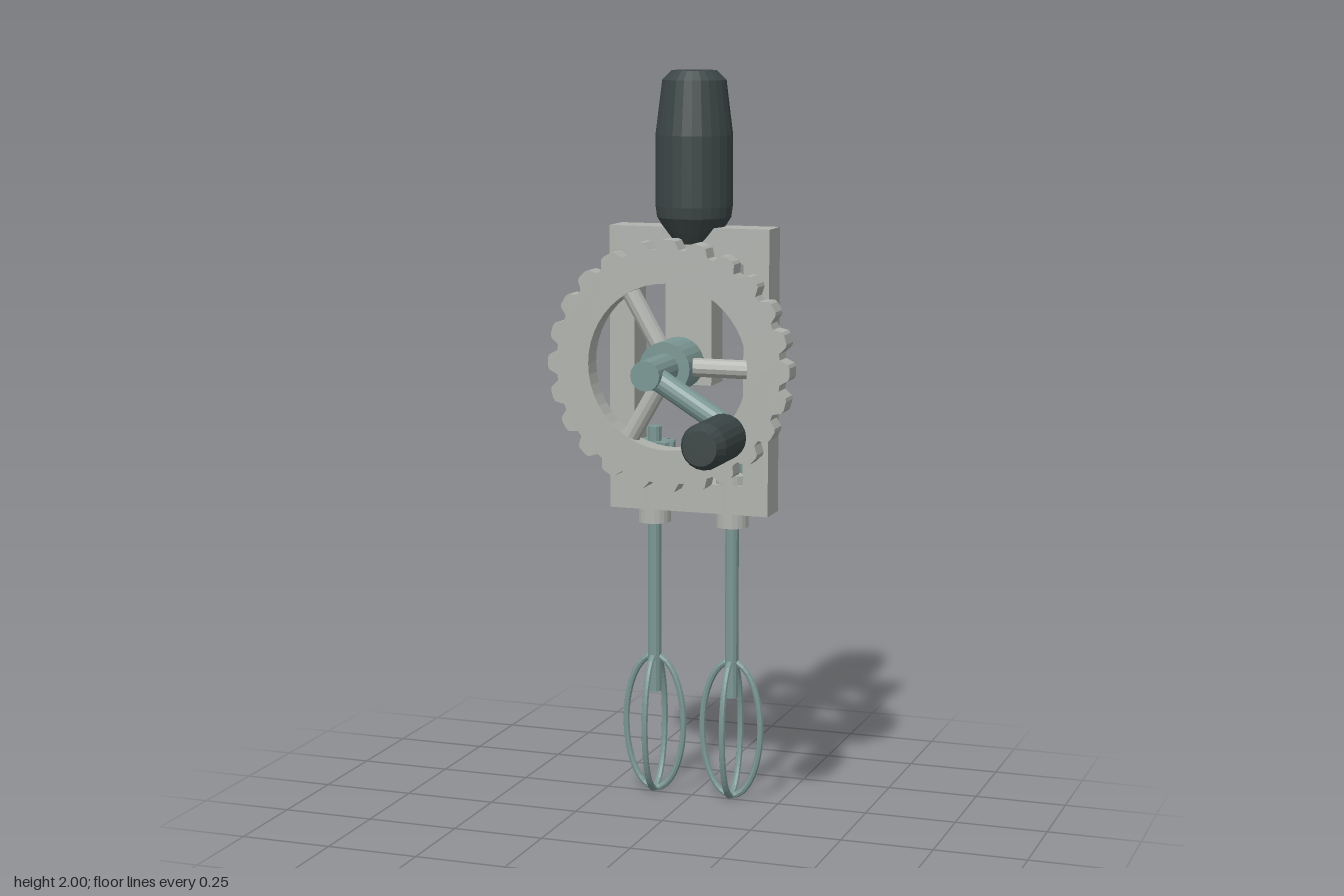
import * as THREE from 'three';

const mat = (color) => new THREE.MeshStandardMaterial({ color, flatShading: true });
const METAL = mat(0xb0b3ae), STEEL = mat(0x7b9794), DARK = mat(0x3c4646);
const Z = -0.26;      // plane of the frame and beaters
const HUB_Y = 1.23;   // height of the crank axle

function add(parent, name, geometry, material) {
  const mesh = new THREE.Mesh(geometry, material);
  mesh.name = name;
  parent.add(mesh);
  return mesh;
}

// Cylinder running between two points
function rod(parent, name, from, to, radius, material, sides = 16) {
  const a = new THREE.Vector3(...from), b = new THREE.Vector3(...to);
  const dir = b.clone().sub(a);
  const mesh = add(parent, name, new THREE.CylinderGeometry(radius, radius, dir.length(), sides), material);
  mesh.position.copy(a).add(b).multiplyScalar(0.5);
  mesh.quaternion.setFromUnitVectors(new THREE.Vector3(0, 1, 0), dir.normalize());
  return mesh;
}

function lathe(points, sides) {
  return new THREE.LatheGeometry(points.map(([r, y]) => new THREE.Vector2(r, y)), sides);
}

// Toothed outline: each tooth has a root, flanks and a tip
function gearShape(teeth, root, tip) {
  const profile = [[0, root], [0.2, root], [0.36, tip - (tip - root) * 0.15], [0.46, tip],
    [0.74, tip], [0.84, tip - (tip - root) * 0.15]];
  const points = [];
  for (let i = 0; i < teeth; i++) {
    for (const [t, r] of profile) {
      const a = ((i + t - 0.6) / teeth) * Math.PI * 2;
      points.push(new THREE.Vector2(Math.cos(a) * r, Math.sin(a) * r));
    }
  }
  return new THREE.Shape(points);
}

const extrude = (shape, depth, curveSegments = 24) =>
  new THREE.ExtrudeGeometry(shape, { depth, bevelEnabled: false, curveSegments });

function rect(x0, y0, x1, y1) {
  return [[x0, y0], [x1, y0], [x1, y1], [x0, y1]].map(([x, y]) => new THREE.Vector2(x, y));
}

function makeFrame(model) {
  // Window frame with a tongue hanging from its top bar
  const shape = new THREE.Shape(rect(-0.226, 0.81, 0.226, 1.585));
  shape.holes.push(new THREE.Path([[-0.155, 0.89], [0.155, 0.89], [0.155, 1.49], [0.065, 1.49],
    [0.065, 1.16], [-0.065, 1.16], [-0.065, 1.49], [-0.155, 1.49]]
    .map(([x, y]) => new THREE.Vector2(x, y))));
  add(model, 'frame', extrude(shape, 0.095), METAL).position.z = Z - 0.048;

  // Upright grip
  const grip = lathe([[0, 1.54], [0.055, 1.54], [0.075, 1.57], [0.1, 1.61], [0.104, 1.64],
    [0.104, 1.83], [0.086, 1.975], [0.06, 2], [0, 2]], 24);
  add(model, 'topHandle', grip, DARK).position.z = Z + 0.002;
}

function makeDrive(model) {
  // Drive wheel with three spokes
  const wheel = new THREE.Group();
  wheel.name = 'driveWheel';
  wheel.position.set(0, HUB_Y, -0.067);
  model.add(wheel);
  const shape = gearShape(24, 0.312, 0.337);
  shape.holes.push(new THREE.Path().absarc(0, 0, 0.222, 0, Math.PI * 2, true));
  add(wheel, 'gearRing', extrude(shape, 0.06), METAL).position.z = -0.03;
  for (let i = 0; i < 3; i++) {
    const a = (i * Math.PI * 2) / 3, c = Math.cos(a), s = Math.sin(a);
    rod(wheel, 'spoke', [c * 0.05, s * 0.05, 0], [c * 0.24, s * 0.24, 0], 0.025, METAL, 12);
  }
  rod(wheel, 'hub', [0, 0, -0.07], [0, 0, 0.05], 0.07, STEEL, 24);

  // Axle, crank arm and turning knob
  rod(model, 'axle', [0, HUB_Y, -0.26], [0, HUB_Y, 0.135], 0.04, STEEL);
  rod(model, 'crankArm', [0, HUB_Y, 0.09], [0.228, 1.09, 0.09], 0.03, STEEL);
  rod(model, 'knobPin', [0.226, 1.09, 0.07], [0.226, 1.09, 0.15], 0.022, STEEL, 12);
  const knob = add(model, 'crankKnob', lathe([[0, 0], [0.043, 0], [0.06, 0.034],
    [0.06, 0.195], [0.045, 0.227], [0, 0.227]], 20), DARK);
  knob.rotation.x = Math.PI / 2;
  knob.position.set(0.226, 1.09, 0.135);
}

// Closed ellipse for the beater wires
class Ellipse extends THREE.Curve {
  getPoint(t, target = new THREE.Vector3()) {
    const a = t * Math.PI * 2;
    return target.set(Math.cos(a) * 0.084, Math.sin(a) * 0.191, 0);
  }
}

function makeBeater(model, side) {
  const beater = new THREE.Group();
  beater.name = side > 0 ? 'leftBeater' : 'rightBeater';
  beater.position.set(side * 0.112, 0, Z + 0.004);
  model.add(beater);
  rod(beater, 'shaft', [0, 0.29, 0], [0, 1.035, 0], 0.019, STEEL, 12);
  rod(beater, 'bearing', [0, 0.77, 0], [0, 0.915, 0], 0.045, METAL, 20);

  // Small pinion above the bearing
  const pinion = add(beater, 'pinion', extrude(gearShape(10, 0.043, 0.058), 0.07), STEEL);
  pinion.rotation.x = -Math.PI / 2;
  pinion.position.y = 0.925;

  // Two crossed wire loops
  const loop = new THREE.TubeGeometry(new Ellipse(), 48, 0.009, 8, true);
  for (const turn of [0, Math.PI / 2]) {
    const wire = add(beater, 'wireLoop', loop, STEEL);
    wire.position.y = 0.2;
    wire.rotation.y = turn;
  }
}

export function createModel() {
  const model = new THREE.Group();
  model.name = 'handMixer';
  makeFrame(model);
  makeDrive(model);
  for (const side of [-1, 1]) makeBeater(model, side);
  return model;
}
